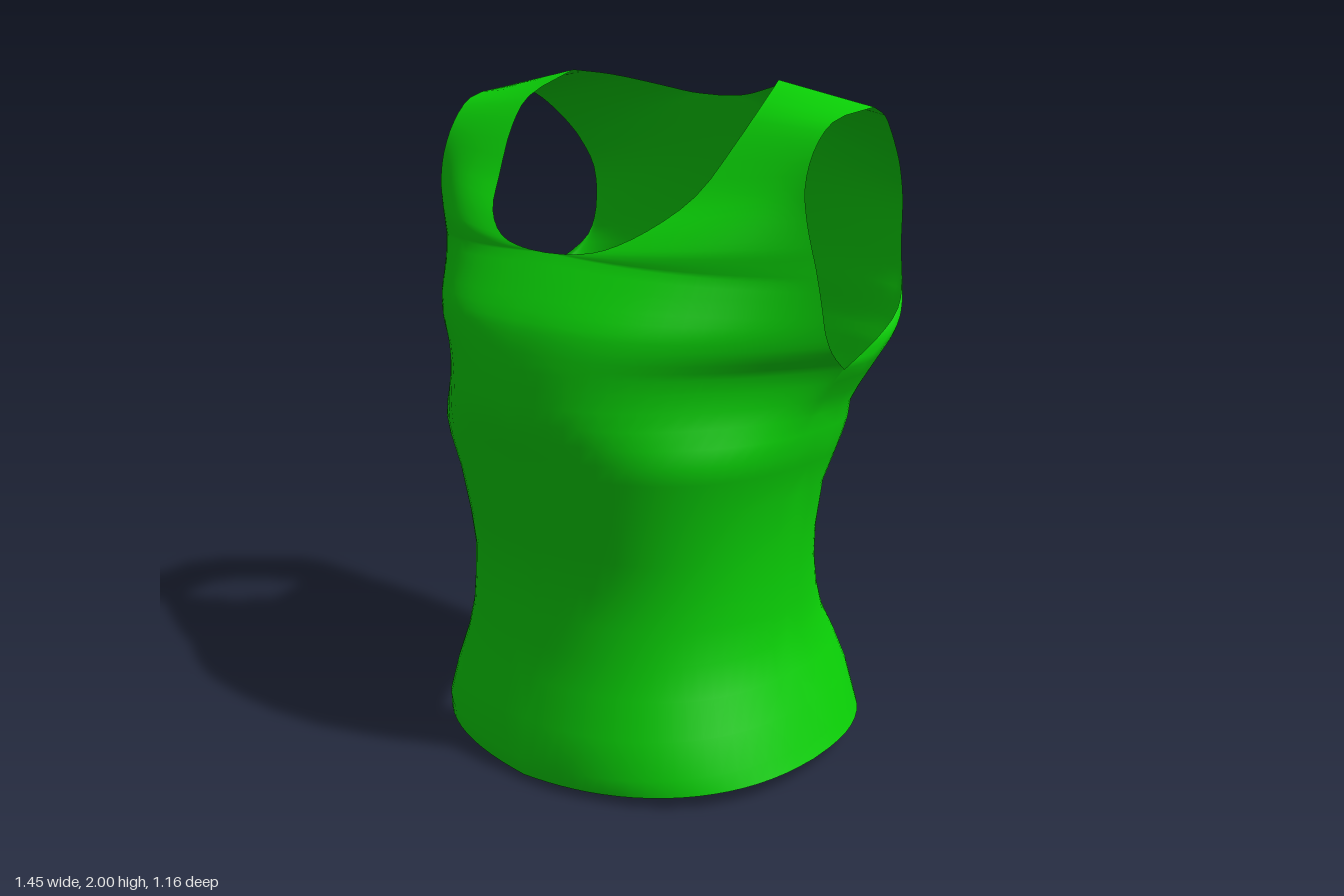
import * as THREE from 'three';
import { mergeVertices } from 'three/addons/utils/BufferGeometryUtils.js';

const { lerp, smoothstep } = THREE.MathUtils;
const curve = (pts) => new THREE.CatmullRomCurve3(pts.map((p) => new THREE.Vector3(...p)));
const COLS = 20;
const ROWS_PER_SPAN = 3;
const SIDE_Z = -0.02;

// Torso rings from hem to armpit: height, half width, front z, back z
const RINGS = [
  [0.05, 0.637, 0.55, -0.58], [0.1, 0.62, 0.565, -0.575], [0.2, 0.59, 0.545, -0.56],
  [0.3, 0.555, 0.515, -0.525], [0.4, 0.53, 0.5, -0.46], [0.5, 0.526, 0.49, -0.41],
  [0.6, 0.528, 0.485, -0.375], [0.7, 0.535, 0.5, -0.35], [0.85, 0.555, 0.53, -0.335],
  [0.95, 0.59, 0.55, -0.34], [1.0, 0.605, 0.562, -0.35], [1.05, 0.614, 0.574, -0.364],
  [1.1, 0.622, 0.584, -0.356], [1.15, 0.645, 0.583, -0.376], [1.2, 0.675, 0.58, -0.39],
  [1.24, 0.7, 0.577, -0.4],
];

// Edges of one front and one back quarter on the left (+x) side. The centre line
// and neckline together have as many spans as the armhole, row for row.
// low and high are the cross-section exponents at the waist and at the chest.
const FRONT = {
  z: 2, dir: 1, low: [2.4, 1 / 2.4], high: [2.6, 1], change: [0.95, 1.26], flatten: [0.5, 1],
  hem: (q) => -0.05 * (1 - q), centreSpans: 4, spans: 11,
  centre: curve([[0, 1.24, 0.577], [0, 1.31, 0.565], [0, 1.37, 0.545], [0, 1.46, 0.485],
    [0, 1.54, 0.425]]),
  neck: curve([[0, 1.54, 0.425], [0.1, 1.545, 0.42], [0.2, 1.565, 0.4], [0.3, 1.62, 0.34],
    [0.38, 1.71, 0.235], [0.43, 1.845, 0.13], [0.44, 1.925, 0.05], [0.395, 2, -0.1]]),
  armhole: curve([[0.7, 1.24, -0.02], [0.715, 1.3, 0.06], [0.72, 1.36, 0.1], [0.725, 1.43, 0.125],
    [0.725, 1.5, 0.145], [0.722, 1.55, 0.157], [0.717, 1.6, 0.17], [0.707, 1.67, 0.18],
    [0.695, 1.75, 0.175], [0.69, 1.84, 0.135], [0.693, 1.91, 0.06], [0.7, 1.94, -0.12]]),
};
const BACK = {
  z: 3, dir: -1, low: [2.5, 0.4], high: [3.5, 1 / 3.5], change: [0.5, 1.24], flatten: [0.1, 0.5],
  hem: (q, d) => 0.03 * d, centreSpans: 6, spans: 10,
  centre: curve([[0, 1.24, -0.4], [0, 1.32, -0.415], [0, 1.4, -0.425], [0, 1.5, -0.43],
    [0, 1.62, -0.42], [0, 1.78, -0.375], [0, 1.93, -0.32]]),
  neck: curve([[0, 1.93, -0.32], [0.1, 1.935, -0.315], [0.2, 1.955, -0.28], [0.33, 1.985, -0.2],
    [0.395, 2, -0.1]]),
  armhole: curve([[0.7, 1.24, -0.02], [0.7, 1.3, -0.17], [0.67, 1.36, -0.32], [0.63, 1.43, -0.4],
    [0.61, 1.52, -0.42], [0.612, 1.66, -0.415], [0.63, 1.76, -0.365], [0.642, 1.81, -0.325],
    [0.657, 1.86, -0.275], [0.677, 1.91, -0.21], [0.7, 1.94, -0.12]]),
};

// Sideways share of a column: 0 at the centre line, 1 at the side
const across = (j) => Math.sin((j / COLS) * (Math.PI / 2));

// Depth share of the rounded cross-section: 1 at the centre line, 0 at the side
const depth = (q, [a, b]) => Math.max(0, 1 - q ** a) ** b;

// Torso below the armpits
function ringPoint(panel, ring, j) {
  const [y, width] = ring;
  const q = across(j);
  const d = lerp(depth(q, panel.low), depth(q, panel.high), smoothstep(y, ...panel.change));
  const hem = panel.hem(q, d) * Math.max(0, 1 - (y - 0.05) / 0.25);
  return new THREE.Vector3(width * q, y + hem, SIDE_Z + (ring[panel.z] - SIDE_Z) * d);
}

// Chest, back and straps: each row runs from centre line or neckline to the armhole
function upperPoint(panel, t, j) {
  const { centreSpans, spans, high } = panel;
  const span = t * spans;
  const inner = span <= centreSpans
    ? panel.centre.getPoint(span / centreSpans)
    : panel.neck.getPoint(Math.min(1, (span - centreSpans) / (spans - centreSpans)));
  const outer = panel.armhole.getPoint(t);
  const s = across(j);
  const p = inner.clone().lerp(outer, s);
  const round = depth(p.x / outer.x, high) / depth(inner.x / outer.x, high);
  const share = lerp(round, 1 - s, smoothstep(t, ...panel.flatten));
  p.z = lerp(outer.z, inner.z, share);
  return p;
}

// One quarter of the garment from hem to shoulder
function addQuarter(panel, mirror, positions, indices) {
  const start = positions.length / 3;
  const rows = panel.spans * ROWS_PER_SPAN;
  const total = RINGS.length + rows;
  for (let i = 0; i < total; i++) {
    for (let j = 0; j <= COLS; j++) {
      const p = i < RINGS.length
        ? ringPoint(panel, RINGS[i], j)
        : upperPoint(panel, (i - RINGS.length + 1) / rows, j);
      positions.push(p.x * mirror, p.y, p.z);
    }
  }
  for (let i = 0; i < total - 1; i++) {
    for (let j = 0; j < COLS; j++) {
      const a = start + i * (COLS + 1) + j;
      const b = a + 1;
      const d = a + COLS + 1;
      const c = d + 1;
      if (panel.dir * mirror > 0) indices.push(a, b, c, a, c, d);
      else indices.push(a, c, b, a, d, c);
    }
  }
}

export function createModel() {
  const positions = [];
  const indices = [];
  for (const panel of [FRONT, BACK]) {
    for (const mirror of [1, -1]) addQuarter(panel, mirror, positions, indices);
  }
  // Weld the quarters so the cloth shades smoothly across its seams
  let geometry = new THREE.BufferGeometry();
  geometry.setAttribute('position', new THREE.Float32BufferAttribute(positions, 3));
  geometry.setIndex(indices);
  geometry = mergeVertices(geometry, 1e-4);
  geometry.computeVertexNormals();

  const cloth = new THREE.MeshStandardMaterial({ color: 0x0ad006, side: THREE.DoubleSide });
  const top = new THREE.Mesh(geometry, cloth);
  top.name = 'sleevelessTop';
  const group = new THREE.Group();
  group.name = 'garment';
  group.add(top);
  return group;
}
